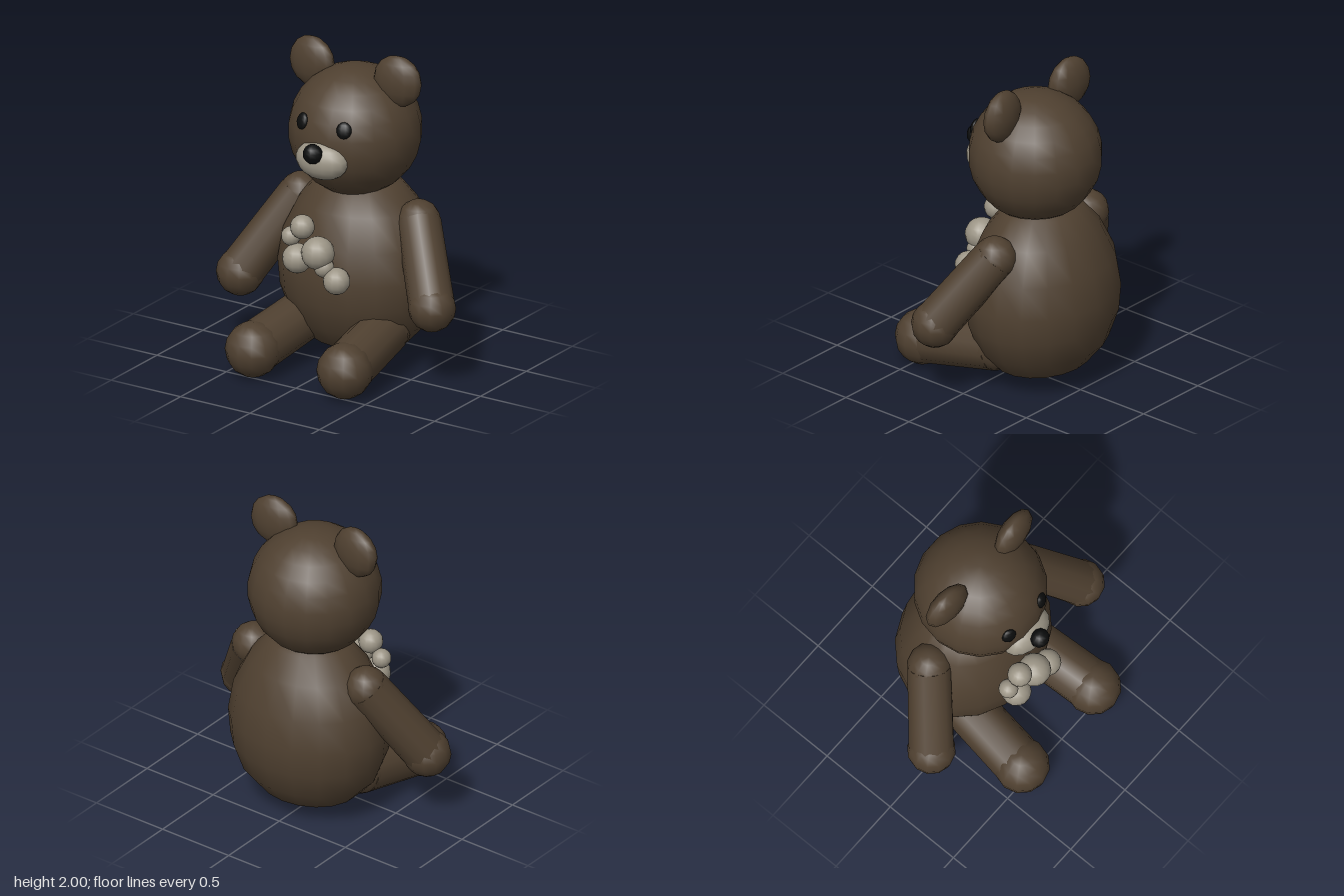
import * as THREE from 'three';

const material = (name, color) => {
  const m = new THREE.MeshStandardMaterial({ color });
  m.name = name;
  return m;
};

export function createModel() {
  const bear = new THREE.Group();
  bear.name = 'teddyBear';
  const fur = material('brown fur', 0x4f4030);
  const cream = material('cream plush', 0x9c9586);
  const black = material('black', 0x0b0c0c);

  const add = (name, geometry, mat, position, parent = bear) => {
    const mesh = new THREE.Mesh(geometry, mat);
    mesh.name = name;
    mesh.position.set(...position);
    parent.add(mesh);
    return mesh;
  };
  const ball = (name, mat, position, radii, segments = 14, parent = bear) => {
    const mesh = add(name, new THREE.SphereGeometry(1, segments, Math.round(segments * 0.7)), mat, position, parent);
    mesh.scale.set(...radii);
    return mesh;
  };

  // Pear-shaped body, narrower from front to back
  const profile = [
    [0, 0.04], [0.16, 0.06], [0.32, 0.13], [0.44, 0.26], [0.505, 0.43], [0.52, 0.6],
    [0.485, 0.8], [0.385, 1.0], [0.26, 1.14], [0, 1.23],
  ].map(([r, y]) => new THREE.Vector2(r, y));
  const body = add('body', new THREE.LatheGeometry(profile, 18), fur, [0, 0, -0.2]);
  body.scale.z = 0.84;

  // Head
  ball('head', fur, [0.003, 1.475, -0.145], [0.407, 0.407, 0.407], 18);

  // Stuffed limb: tapered tube with a rounded pad at each end
  const limb = (name, from, to, r0, r1, padRadius) => {
    const group = new THREE.Group();
    group.name = name;
    bear.add(group);
    const a = new THREE.Vector3(...from), b = new THREE.Vector3(...to);
    const axis = b.clone().sub(a);
    const tube = add(name + 'Tube', new THREE.CylinderGeometry(r1, r0, axis.length(), 12, 1), fur,
      a.clone().add(b).multiplyScalar(0.5).toArray(), group);
    tube.quaternion.setFromUnitVectors(new THREE.Vector3(0, 1, 0), axis.normalize());
    ball(name + 'Joint', fur, from, [r0, r0, r0], 12, group);
    ball(name + 'Pad', fur, to, [padRadius, padRadius, padRadius], 12, group);
  };

  // The right arm hangs slightly lower than the left one
  limb('leftArm', [0.43, 0.95, -0.19], [0.69, 0.525, 0.06], 0.135, 0.14, 0.146);
  limb('rightArm', [-0.42, 0.95, -0.19], [-0.69, 0.47, 0.06], 0.135, 0.14, 0.148);

  for (const [side, s] of [['left', 1], ['right', -1]]) {
    limb(side + 'Leg', [s * 0.275, 0.265, -0.06], [s * 0.33, 0.175, 0.465], 0.155, 0.16, 0.172);

    // Flattened ears and button eyes
    const ear = ball(side + 'Ear', fur, [s * 0.308, 1.84, -0.145], [0.163, 0.162, 0.078], 12);
    ear.rotation.y = s * 0.08;
    const eye = ball(side + 'Eye', black, [s * 0.15 + 0.004, 1.6, 0.208], [0.047, 0.052, 0.022], 10);
    eye.rotation.set(-0.3, s * 0.38, 0, 'YXZ');
  }

  // Muzzle and nose
  ball('muzzle', cream, [0.003, 1.385, 0.215], [0.177, 0.123, 0.113], 16);
  ball('nose', black, [0.004, 1.455, 0.323], [0.062, 0.062, 0.058], 10);

  // Tufts of stuffing bursting from the chest: x, y, z, radius
  [
    [-0.11, 0.943, 0.262, 0.075], [-0.2, 0.862, 0.25, 0.06], [-0.145, 0.735, 0.265, 0.092],
    [0.01, 0.803, 0.275, 0.102], [0.055, 0.72, 0.275, 0.062], [0.14, 0.648, 0.268, 0.083],
  ].forEach(([x, y, z, r], i) => ball('stuffingTuft' + (i + 1), cream, [x, y, z], [r, r, r], 14));

  return bear;
}
